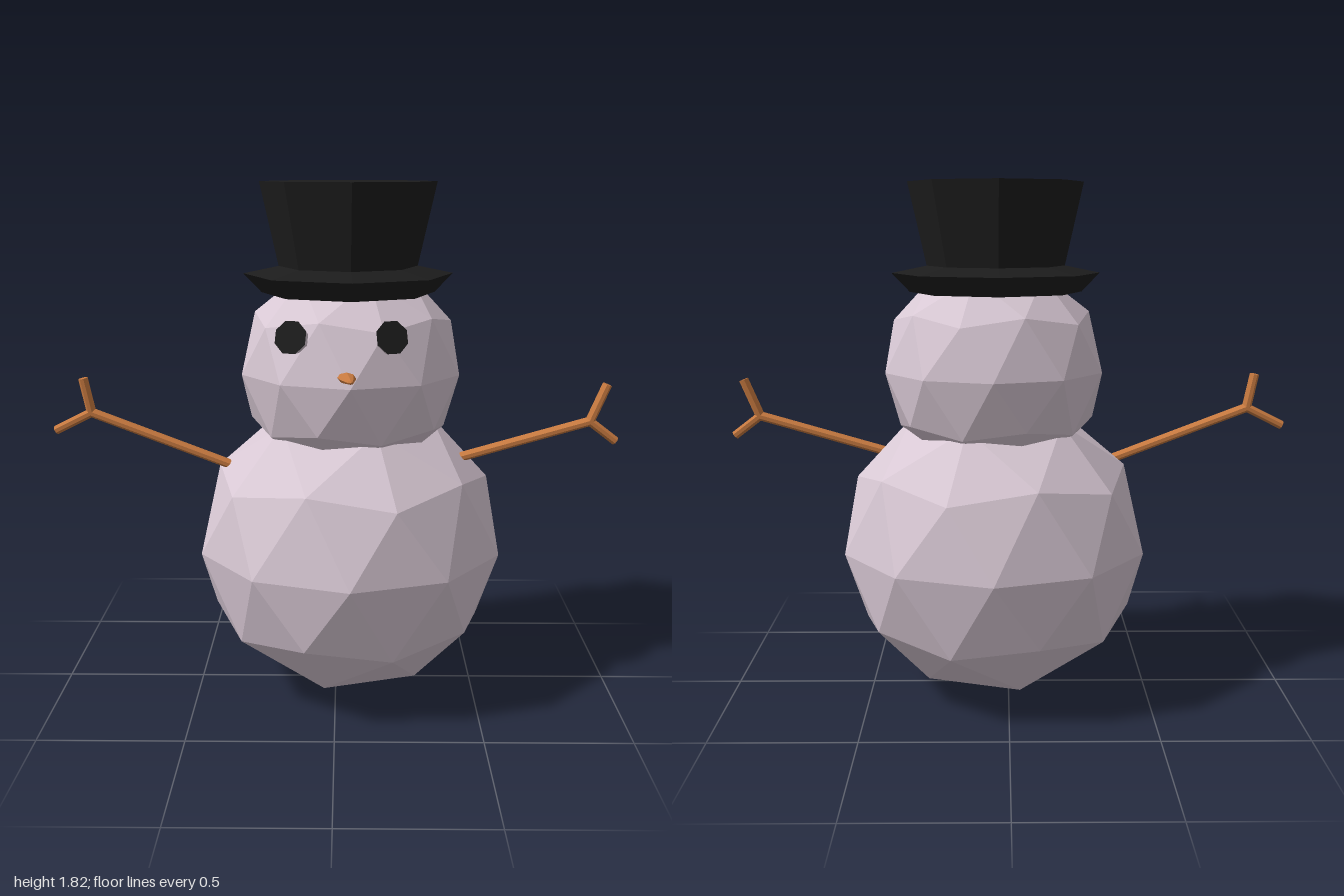
import * as THREE from 'three';

const mat = (color, extra = {}) => new THREE.MeshStandardMaterial({ color, flatShading: true, ...extra });

export function createModel() {
  const root = new THREE.Group();
  root.name = 'snowman';
  const snow = mat(0xd8c8d4);
  const wood = mat(0xc87a40);
  const black = mat(0x1c1c1c, { side: THREE.DoubleSide });

  const add = (name, geometry, material, parent = root) => {
    const mesh = new THREE.Mesh(geometry, material);
    mesh.name = name;
    parent.add(mesh);
    return mesh;
  };

  // Faceted snowballs: icospheres turned so that a vertex is at each pole
  const tilt = -Math.atan(2 / (1 + Math.sqrt(5)));
  const snowball = (name, y, rx, ry, rz) => {
    const g = new THREE.IcosahedronGeometry(1, 1);
    g.rotateZ(tilt).scale(rx, ry, rz).translate(0.051, y, 0);
    return add(name, g, snow);
  };
  snowball('body', 0.543, 0.548, 0.543, 0.5385);
  snowball('head', 1.175, 0.391, 0.385, 0.385);

  // Eight-sided top hat, crown widening upwards
  const hatProfile = [[0, 1.445], [0.3, 1.445], [0.362, 1.51], [0.24, 1.535], [0.303, 1.819], [0, 1.819]]
    .map(([r, y]) => new THREE.Vector2(r, y));
  const hat = add('topHat', new THREE.LatheGeometry(hatProfile, 8), black);
  hat.position.x = 0.043;
  hat.rotation.y = 0.035;

  // Eyes: short pale plugs with a dark front, turned outwards and up
  for (const [name, x, side] of [['leftEye', 0.184, 1], ['rightEye', -0.142, -1]]) {
    const eye = new THREE.Group();
    eye.name = name;
    const plug = new THREE.CylinderGeometry(0.057, 0.042, 0.06, 8, 1, true);
    plug.rotateY(Math.PI / 8).rotateX(Math.PI / 2).translate(0, 0, -0.03);
    add(name + 'Rim', plug, snow, eye);
    const face = new THREE.CircleGeometry(0.057, 8, Math.PI / 8);
    add(name + 'Face', face, black, eye);
    eye.position.set(x, 1.336, 0.333);
    eye.lookAt(x + side * 0.33, 1.336 + 0.28, 0.333 + 0.9);
    root.add(eye);
  }

  // Carrot nose, flattened, with a blunt tip
  const noseProfile = [[0, 0], [0.033, 0], [0.026, 0.065], [0.011, 0.12], [0, 0.128]]
    .map(([r, y]) => new THREE.Vector2(r, y));
  const noseGeometry = new THREE.LatheGeometry(noseProfile, 8);
  noseGeometry.rotateX(Math.PI / 2).scale(1, 0.6, 1);
  const nose = add('nose', noseGeometry, wood);
  nose.position.set(0.033, 1.211, 0.33);
  nose.rotation.y = 0.15;

  // Stick arms, each ending in two twigs
  const stick = (name, a, b, parent) => {
    const from = new THREE.Vector3(...a, 0);
    const dir = new THREE.Vector3(...b, 0).sub(from);
    const g = new THREE.CylinderGeometry(0.017, 0.017, dir.length(), 8);
    g.rotateY(Math.PI / 8).scale(0.95, 1, 1.3);
    g.rotateZ(-Math.atan2(dir.x, dir.y));
    const mesh = add(name, g, wood, parent);
    mesh.position.copy(from).addScaledVector(dir, 0.5);
  };
  const arms = {
    leftArm: { shoulder: [0.44, 0.867], wrist: [0.893, 0.998], twigs: [[0.947, 1.13], [0.985, 0.928]] },
    rightArm: { shoulder: [-0.375, 0.839], wrist: [-0.86, 1.026], twigs: [[-0.884, 1.148], [-0.988, 0.962]] },
  };
  for (const [name, { shoulder, wrist, twigs }] of Object.entries(arms)) {
    const arm = new THREE.Group();
    arm.name = name;
    arm.position.z = 0.048;
    stick(name + 'Branch', shoulder, wrist, arm);
    twigs.forEach((tip, i) => stick(name + 'Twig' + (i + 1), wrist, tip, arm));
    root.add(arm);
  }
  return root;
}
